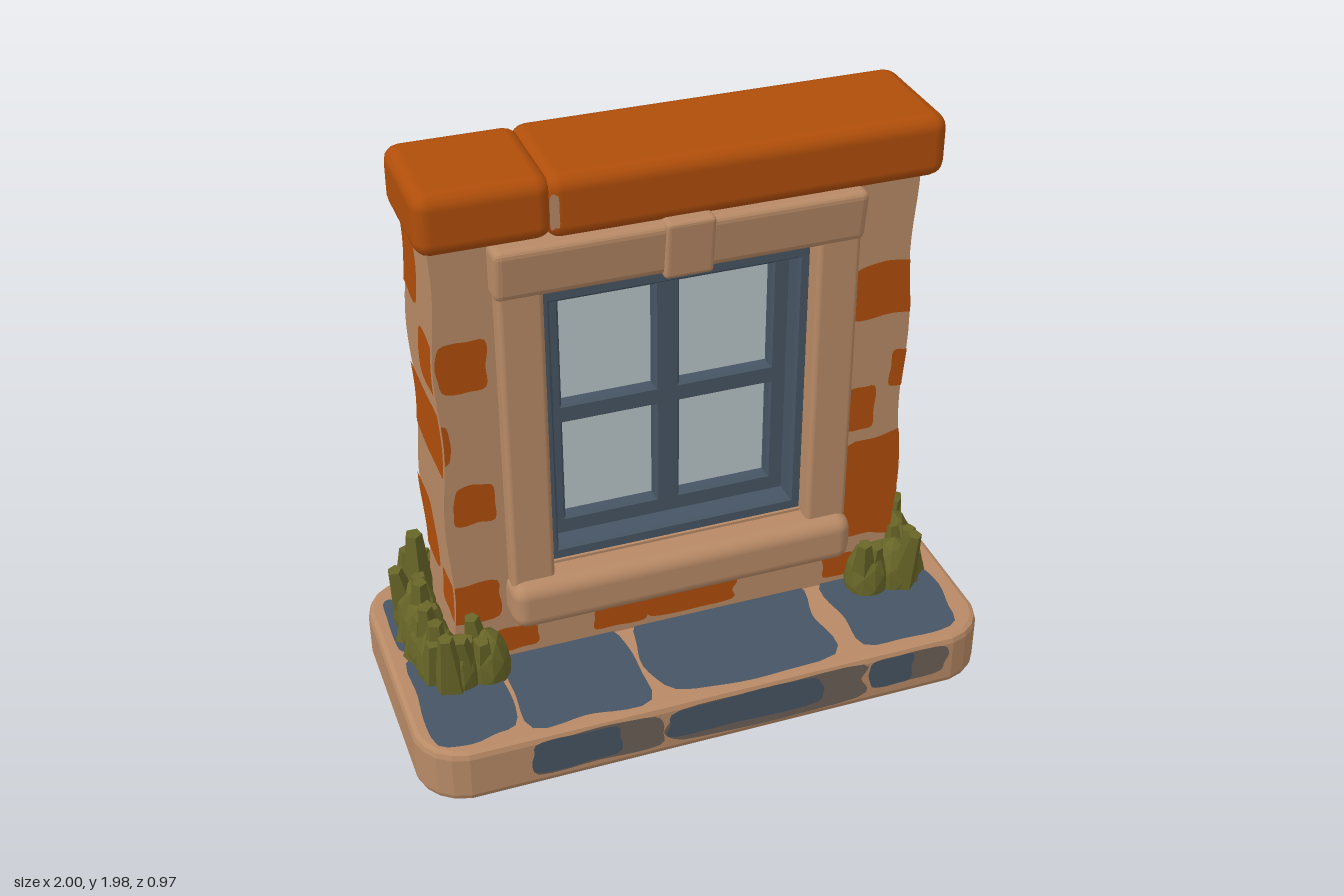
import * as THREE from 'three';
import { mergeGeometries } from 'three/addons/utils/BufferGeometryUtils.js';
import { RoundedBoxGeometry } from 'three/addons/geometries/RoundedBoxGeometry.js';

export function createModel() {
  const root = new THREE.Group();
  const mat = (name, color, flatShading = false) => {
    const m = new THREE.MeshStandardMaterial({ color, flatShading });
    m.name = name;
    return m;
  };
  const sand = mat('sandstone', 0xb88a66);
  const brick = mat('orange brick', 0xb04e0a);
  const slate = mat('slate blue', 0x465564);
  const grime = mat('grey brown', 0x6c6058);
  const glass = mat('pale glass', 0xb8c3c7);
  const moss = mat('moss green', 0x676527, true);

  const add = (name, geo, material) => {
    const m = new THREE.Mesh(geo, material);
    m.name = name;
    root.add(m);
    return m;
  };
  // Softly rounded block given by its limits
  const block = (name, [x0, x1], [y0, y1], [z0, z1], r, material) => {
    const g = r ? new RoundedBoxGeometry(x1 - x0, y1 - y0, z1 - z0, 2, r)
      : new THREE.BoxGeometry(x1 - x0, y1 - y0, z1 - z0, 1, 32, 1);
    g.translate((x0 + x1) / 2, (y0 + y1) / 2, (z0 + z1) / 2);
    return add(name, g, material);
  };
  // Worn outer edges of the piers, shared by the painted bricks
  const warp = (geo) => {
    const p = geo.attributes.position;
    for (let i = 0; i < p.count; i++) {
      const x = p.getX(i), y = p.getY(i);
      if (Math.abs(x) > 0.72 && y > 0.21) p.setX(i, x + Math.sign(x) * 0.008 * Math.sin(y * 11 + x));
    }
    return geo;
  };
  const rect = (path, x0, x1, y0, y1) => {
    path.moveTo(x0, y0); path.lineTo(x1, y0); path.lineTo(x1, y1); path.lineTo(x0, y1);
    path.closePath();
    return path;
  };

  // Irregular painted patch on one face; a, b are ranges of the two in-plane axes
  const faces = {
    front: { su: 1, sv: 1, rx: 0, ry: 0, n: [0, 0, 1] },
    back: { su: -1, sv: 1, rx: 0, ry: Math.PI, n: [0, 0, -1] },
    right: { su: -1, sv: 1, rx: 0, ry: Math.PI / 2, n: [1, 0, 0] },
    left: { su: 1, sv: 1, rx: 0, ry: -Math.PI / 2, n: [-1, 0, 0] },
    top: { su: 1, sv: -1, rx: -Math.PI / 2, ry: 0, n: [0, 1, 0] },
    bottom: { su: 1, sv: 1, rx: Math.PI / 2, ry: 0, n: [0, -1, 0] },
  };
  let seed = 0;
  const patch = (face, at, a, b, material, limit = [-9, 9], lift = 0.005) => {
    const f = faces[face], g = new THREE.RingGeometry(0.001, 1, 40, 4), p = g.attributes.position;
    seed += 1.7;
    for (let i = 0; i < p.count; i++) {
      const x = p.getX(i), y = p.getY(i), r = Math.hypot(x, y), t = Math.atan2(y, x);
      const k = (1 + 0.035 * Math.sin(3 * t + seed) + 0.03 * Math.sin(5 * t + 2 * seed))
        / Math.pow(Math.abs(x / r) ** 7 + Math.abs(y / r) ** 7, 1 / 7);
      const u = (a[0] + a[1]) / 2 + x * k * (a[1] - a[0]) / 2 * f.su;
      const v = (b[0] + b[1]) / 2 + y * k * (b[1] - b[0]) / 2 * f.sv;
      p.setXYZ(i, f.su * Math.min(limit[1], Math.max(limit[0], u)), f.sv * v, 0);
    }
    g.rotateX(f.rx).rotateY(f.ry);
    const d = Math.abs(at) + lift;
    g.translate(f.n[0] * d, f.n[1] * d, f.n[2] * d);
    return add(material === brick ? 'paintedBrick' : 'paintedStone', warp(g), material);
  };

  // Plinth with rounded corners
  const w = 0.98, d = 0.46, c = 0.13;
  const plan = new THREE.Shape();
  plan.moveTo(-w + c, -d); plan.lineTo(w - c, -d); plan.quadraticCurveTo(w - 0.02, -d + 0.02, w, -d + c);
  plan.lineTo(w, d - c); plan.quadraticCurveTo(w - 0.02, d - 0.02, w - c, d);
  plan.lineTo(-w + c, d); plan.quadraticCurveTo(-w + 0.02, d - 0.02, -w, d - c);
  plan.lineTo(-w, -d + c); plan.quadraticCurveTo(-w + 0.02, -d + 0.02, -w + c, -d);
  const plinth = new THREE.ExtrudeGeometry(plan, {
    depth: 0.15, bevelSize: 0.02, bevelThickness: 0.025, bevelSegments: 2, curveSegments: 4 });
  plinth.rotateX(-Math.PI / 2).translate(0, 0.025, 0);
  add('plinth', plinth, sand);

  // Paving slabs and stains on the plinth
  for (const [a, b] of [[[-0.95, -0.66], [-0.03, 0.43]], [[-0.64, -0.21], [0.02, 0.445]],
    [[-0.18, 0.46], [0.02, 0.445]], [[0.53, 0.92], [0.04, 0.43]], [[-0.95, -0.85], [-0.36, -0.08]]])
    patch('top', 0.2, a, b, slate);
  for (const [a, b] of [[[-0.56, -0.41], [-0.445, -0.29]], [[-0.17, 0.44], [-0.445, -0.27]],
    [[0.46, 0.86], [-0.45, -0.36]]]) patch('top', 0.2, a, b, grime);
  for (const [a, b] of [[[-0.17, -0.05], [-0.44, -0.31]], [[-0.05, 0.1], [-0.39, -0.33]], [[0.2, 0.4], [-0.44, -0.34]],
    [[-0.83, -0.5], [-0.45, -0.37]]]) patch('top', 0.2, a, b, slate, undefined, 0.008);
  for (const [x0, x1, y0, m, l] of [[-0.64, -0.2, 0.04, grime, 0.002], [-0.18, 0.53, 0.03, grime, 0.002],
    [0.55, 0.83, 0.06, grime, 0.002], [-0.65, -0.35, 0.05, slate, 0.005], [-0.18, 0.37, 0.06, slate, 0.005],
    [0.54, 0.7, 0.06, slate, 0.005]])
    patch('front', 0.48, [x0, x1], [y0, 0.182], m, undefined, l);
  for (const [x0, x1, m, l] of [[-0.56, -0.14, grime, 0.002], [-0.06, 0.58, grime, 0.002], [-0.5, -0.22, slate, 0.005],
    [0.0, 0.28, slate, 0.005], [0.36, 0.55, slate, 0.005]])
    patch('back', 0.48, [x0, x1], [0.08, 0.182], m, undefined, l);
  for (const [a, b] of [[[-0.88, -0.3], [0.05, 0.42]], [[0.25, 0.9], [0.08, 0.42]], [[-0.7, -0.4], [-0.35, -0.1]],
    [[0.45, 0.65], [-0.38, -0.25]]]) patch('bottom', 0, a, b, slate, undefined, 0.003);
  patch('bottom', 0, [-0.18, 0.18], [-0.2, 0.06], brick, undefined, 0.003);

  // Wall: two piers, the base course and the band over the window
  const pierSpans = { left: [0.55, 0.8], right: [-0.78, -0.55] };
  for (const s of ['right', 'left'])
    warp(block(s + 'Pier', pierSpans[s], [0.19, 1.79], [-0.29, 0.06], 0, sand).geometry);
  block('lowerWall', [-0.56, 0.56], [0.19, 0.56], [-0.285, 0.06], 0, sand);
  block('upperWall', [-0.56, 0.56], [1.59, 1.79], [-0.28, 0.06], 0, sand);

  // Window surround
  for (const s of [-1, 1]) {
    const span = s < 0 ? [-0.59, -0.445] : [0.445, 0.59];
    block('jamb', span, [0.5, 1.64], [-0.25, 0.12], 0.018, sand);
    block('backJamb', span, [0.21, 1.64], [-0.298, -0.2], 0.012, sand);
  }
  block('sill', [-0.6, 0.6], [0.375, 0.55], [-0.2, 0.17], 0.05, sand);
  // The lintel and keystone grow narrower towards the window
  const taper = (mesh, amount) => {
    const p = mesh.geometry.attributes.position;
    for (let i = 0; i < p.count; i++)
      p.setZ(i, p.getZ(i) - Math.sign(p.getZ(i) + 0.08) * amount * (1.78 - p.getY(i)) / 0.18);
    mesh.geometry.computeVertexNormals();
  };
  taper(block('lintel', [-0.6, 0.6], [1.6, 1.78], [-0.315, 0.15], 0.025, sand), 0.025);
  taper(block('keystone', [-0.07, 0.09], [1.59, 1.79], [-0.33, 0.16], 0.015, sand), 0.02);

  // Deep window frame with a sash of four panes in the middle of the wall
  const frame = (name, x, y0, y1, holes, z0, z1) => {
    const shape = rect(new THREE.Shape(), -x, x, y0, y1);
    for (const h of holes) shape.holes.push(rect(new THREE.Path(), ...h));
    const g = new THREE.ExtrudeGeometry(shape, { depth: z1 - z0 - 0.02, bevelSize: 0.008,
      bevelThickness: 0.01, bevelSegments: 1, bevelOffset: -0.008 });
    g.translate(0, 0, z0 + 0.01);
    add(name, g, slate);
  };
  const panes = [];
  for (const [y0, y1] of [[0.66, 1.03], [1.1, 1.48]])
    panes.push([-0.36, -0.045, y0, y1], [0.04, 0.355, y0, y1]);
  frame('windowFrame', 0.452, 0.545, 1.605, [[-0.41, 0.41, 0.6, 1.53]], -0.235, 0.05);
  frame('windowSash', 0.42, 0.59, 1.55, panes, -0.15, -0.03);
  for (const [x0, x1, y0, y1] of panes)
    block('pane', [x0 - 0.01, x1 + 0.01], [y0 - 0.01, y1 + 0.01], [-0.105, -0.075], 0, glass);

  // Exposed bricks on the piers
  const zs = [-0.29, 0.06], xr = [0.6, 0.8], xl = [-0.78, -0.6];
  for (const [a, b] of [[[-0.4, 0.15], [0.4, 0.8]], [[-0.26, 0.05], [0.98, 1.19]], [[-0.06, 0.12], [1.28, 1.46]]])
    patch('right', 0.8, a, b, brick, zs);
  for (const [a, b] of [[[0.59, 0.92], [0.38, 0.8]], [[0.59, 0.7], [0.84, 1.01]], [[0.75, 0.84], [0.99, 1.13]],
    [[0.59, 0.86], [1.27, 1.47]]]) patch('front', 0.06, a, b, brick, xr);
  for (const [a, b] of [[[0.62, 0.92], [0.38, 0.78]], [[0.62, 0.75], [1.34, 1.48]], [[0.72, 0.84], [1.0, 1.18]]])
    patch('back', 0.29, a, b, brick, xr);
  for (const [a, b] of [[[-0.4, -0.12], [1.5, 1.76]], [[-0.36, 0.12], [0.97, 1.21]], [[-0.36, -0.1], [0.48, 0.78]],
    [[-0.1, 0.12], [1.28, 1.46]], [[-0.08, 0.12], [0.4, 0.54]]]) patch('left', 0.78, a, b, brick, zs);
  for (const [a, b] of [[[-0.77, -0.62], [1.28, 1.46]], [[-0.84, -0.76], [1.02, 1.17]], [[-0.75, -0.62], [0.78, 0.93]],
    [[-0.84, -0.62], [0.38, 0.54]]]) patch('front', 0.06, a, b, brick, xl);
  for (const [a, b] of [[[-0.76, -0.62], [1.5, 1.63]], [[-0.76, -0.62], [1.27, 1.43]], [[-0.92, -0.6], [0.97, 1.21]],
    [[-0.88, -0.62], [0.49, 0.77]], [[-0.8, -0.62], [0.24, 0.44]]]) patch('back', 0.29, a, b, brick, xl);
  for (const a of [[-0.65, -0.5], [-0.3, -0.11], [-0.12, 0.21], [0.54, 0.66]])
    patch('front', 0.06, a, [0.23, 0.325], brick);

  // Coping stones with a chipped joint
  block('copingShort', [-0.82, -0.4], [1.775, 1.98], [-0.3, 0.115], 0.05, brick);
  block('copingLong', [-0.425, 0.87], [1.77, 1.98], [-0.31, 0.12], 0.05, brick);
  patch('front', 0.12, [-0.42, -0.39], [1.82, 1.93], sand);

  // Chunky moss clumps around the foot of each pier
  let state = 7;
  const rnd = () => (state = (state * 16807) % 2147483647) / 2147483647;
  const walk = [[0.69, 0.11], [0.79, 0.11], [0.84, 0.05], [0.85, -0.04], [0.85, -0.13], [0.85, -0.23],
    [0.82, -0.32], [0.73, -0.35], [0.64, -0.36], [0.55, -0.35]];
  for (const s of [-1, 1]) {
    const parts = [];
    for (const [x, z] of walk) {
      const size = x < 0.66 ? 0.65 : 1;
      const mound = new THREE.IcosahedronGeometry(0.08, 1);
      mound.scale(1, 1.9 * size, 1).translate(s * x, 0.23, z);
      parts.push(mound);
      for (let i = 0; i < 3; i++) {
        const h = (0.14 + 0.11 * rnd()) * size;
        const tuft = new THREE.CylinderGeometry(0.025, 0.06, h, 5).toNonIndexed();
        tuft.translate(0, h / 2, 0).rotateY(rnd() * 6);
        tuft.rotateX((z + 0.12) * 0.5 + (rnd() - 0.5) * 0.3).rotateZ(-s * (0.05 + (rnd() - 0.5) * 0.3));
        tuft.translate(s * (x + (rnd() - 0.5) * 0.08), 0.2, z + (rnd() - 0.5) * 0.08);
        parts.push(tuft);
      }
    }
    // Tall sprig leaning on the right pier
    if (s < 0) {
      const sprig = new THREE.CylinderGeometry(0.03, 0.07, 0.34, 5).toNonIndexed();
      parts.push(sprig.translate(-0.83, 0.37, -0.27));
    }
    add(s > 0 ? 'leftMoss' : 'rightMoss', mergeGeometries(parts), moss);
  }
  return root;
}
